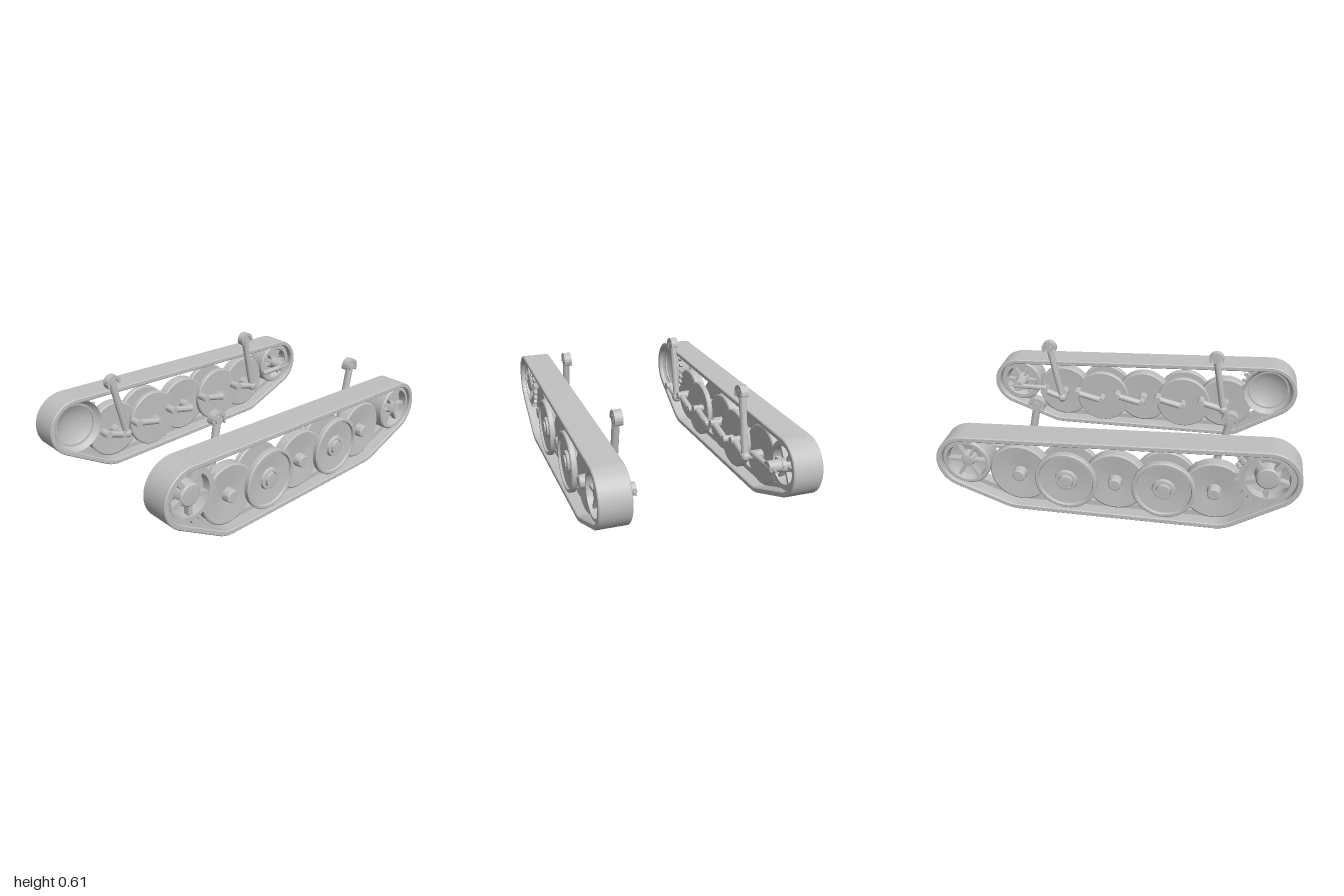
import * as THREE from 'three';
import { toCreasedNormals } from 'three/addons/utils/BufferGeometryUtils.js';

const metal = new THREE.MeshStandardMaterial({ color: 0xc0c0c0 });
metal.name = 'plain grey metal';

function add(parent, name, geo, x = 0, y = 0, z = 0) {
  const m = new THREE.Mesh(toCreasedNormals(geo, 0.6), metal);
  m.name = name;
  m.position.set(x, y, z);
  parent.add(m);
  return m;
}

// Lathe about the x axis: profile points are [radius, outward distance]
function turned(profile, s, seg = 48) {
  return new THREE.LatheGeometry(profile.map(p => new THREE.Vector2(p[0], p[1])), seg).rotateZ(-s * Math.PI / 2);
}
const drum = (r, a, b) => [[0, a], [r, a], [r, b], [0, b]];

// Shape drawn in (z, y), extruded symmetrically along x
function plate(shape, width, bevel = 0) {
  const depth = width - 2 * bevel;
  return new THREE.ExtrudeGeometry(shape, {
    depth, curveSegments: 20, bevelEnabled: bevel > 0,
    bevelThickness: bevel, bevelSize: bevel, bevelOffset: -bevel, bevelSegments: 1
  }).translate(0, 0, -depth / 2).rotateY(-Math.PI / 2);
}

function rod(parent, name, a, b, r) {
  const p = new THREE.Vector3(...a), q = new THREE.Vector3(...b);
  const d = q.clone().sub(p);
  const g = new THREE.CylinderGeometry(r, r, d.length(), 20);
  g.applyQuaternion(new THREE.Quaternion().setFromUnitVectors(new THREE.Vector3(0, 1, 0), d.normalize()));
  p.add(q).multiplyScalar(0.5);
  return add(parent, name, g, p.x, p.y, p.z);
}

// Track loop: hull of the circles it wraps around, shrunk by an inset
const GUIDES = [[0.825, 0.335, 0.175], [-0.835, 0.275, 0.165], [0.55, 0.21, 0.21], [-0.54, 0.21, 0.21]];
function loop(inset) {
  const pts = [];
  for (let i = 0; i < 160; i++) {
    const t = i / 160 * Math.PI * 2, c = Math.cos(t), n = Math.sin(t);
    let best = null, far = -9;
    for (const g of GUIDES) {
      const d = g[0] * c + g[1] * n + g[2];
      if (d > far) { far = d; best = g; }
    }
    pts.push(new THREE.Vector2(best[0] + (best[2] - inset) * c, best[1] + (best[2] - inset) * n));
  }
  return pts;
}
function band(outer, inner) {
  const shape = new THREE.Shape(loop(outer));
  shape.holes.push(new THREE.Path(loop(inner)));
  return shape;
}

// Toothed ring of the drive sprocket
function gearShape(teeth) {
  const pts = [];
  for (let i = 0; i < teeth; i++) {
    [[0, 0.15], [0.4, 0.15], [0.55, 0.173], [0.8, 0.173]].forEach(([k, r]) => {
      const a = (i + k) / teeth * Math.PI * 2;
      pts.push(new THREE.Vector2(r * Math.cos(a), r * Math.sin(a)));
    });
  }
  const shape = new THREE.Shape(pts);
  shape.holes.push(new THREE.Path().absarc(0, 0, 0.122, 0, Math.PI * 2, true));
  return shape;
}

function spokes(parent, count, r0, r1, width, depth, x) {
  for (let i = 0; i < count; i++) {
    const g = new THREE.BoxGeometry(depth, r1 - r0, width).translate(0, (r0 + r1) / 2, 0);
    add(parent, 'spoke', g.rotateX((i + 0.5) / count * Math.PI * 2), x);
  }
}

function sprocket(s) {
  const g = new THREE.Group();
  g.name = 'driveSprocket';
  for (const x of [0.475, 0.56]) add(g, 'toothedRing', plate(gearShape(24), 0.02), s * x);
  // bowl: deep dish inside, recessed face outside
  add(g, 'sprocketBowl', turned([[0, 0.5], [0.06, 0.497], [0.12, 0.475], [0.15, 0.45], [0.158, 0.435],
    [0.16, 0.44], [0.15, 0.47], [0.13, 0.5], [0.13, 0.575], [0.12, 0.575], [0.115, 0.53], [0.06, 0.515], [0, 0.515]], s));
  add(g, 'sprocketHub', turned([[0, 0.5], [0.075, 0.5], [0.063, 0.568], [0.055, 0.575], [0, 0.578]], s, 32));
  spokes(g, 5, 0.05, 0.122, 0.026, 0.035, s * 0.55);
  g.position.set(0, 0.335, 0.82);
  return g;
}

function idler(s) {
  const g = new THREE.Group();
  g.name = 'rearIdler';
  add(g, 'idlerRim', turned([[0, 0.5], [0.09, 0.5], [0.105, 0.455], [0.13, 0.455], [0.137, 0.462], [0.137, 0.578],
    [0.13, 0.585], [0.115, 0.585], [0.108, 0.54], [0.05, 0.52], [0, 0.52]], s));
  add(g, 'idlerHub', turned([[0, 0.44], [0.035, 0.44], [0.045, 0.5], [0.045, 0.53], [0.034, 0.57], [0, 0.575]], s, 24));
  spokes(g, 6, 0.025, 0.112, 0.016, 0.035, s * 0.55);
  spokes(g, 6, 0.025, 0.11, 0.016, 0.03, s * 0.48);
  g.position.set(0, 0.275, -0.83);
  return g;
}

function roadWheel(s, paired) {
  const g = new THREE.Group();
  g.name = paired ? 'pairedRoadWheel' : 'middleRoadWheel';
  if (paired) {
    add(g, 'outerDisc', turned([[0, 0.555], [0.168, 0.555], [0.174, 0.56], [0.174, 0.585], [0.168, 0.59], [0.155, 0.59],
      [0.15, 0.578], [0.065, 0.57], [0.06, 0.585], [0.043, 0.587], [0.04, 0.578], [0.036, 0.595], [0, 0.597]], s));
    add(g, 'innerDisc', turned([[0, 0.44], [0.168, 0.44], [0.174, 0.446], [0.174, 0.468], [0.168, 0.474], [0, 0.474]], s));
    add(g, 'wheelAxle', turned(drum(0.05, 0.47, 0.56), s, 24));
  } else {
    add(g, 'middleDisc', turned([[0, 0.49], [0.165, 0.482], [0.174, 0.488], [0.174, 0.542], [0.165, 0.548],
      [0.04, 0.535], [0.036, 0.575], [0.03, 0.58], [0, 0.58]], s));
    add(g, 'wheelAxle', turned(drum(0.03, 0.43, 0.49), s, 24));
  }
  return g;
}

// Swing arm: axle stub, crank and pivot stub
function swingArm(s, z, pivotZ) {
  const g = new THREE.Group(), x = s * 0.388;
  g.name = 'swingArm';
  rod(g, 'armAxle', [s * 0.37, 0.21, z], [s * 0.46, 0.21, z], 0.021);
  rod(g, 'armCrank', [x, 0.21, z], [x, 0.25, pivotZ], 0.02);
  rod(g, 'armPivot', [s * 0.362, 0.25, pivotZ], [s * 0.43, 0.25, pivotZ], 0.023);
  return g;
}

// Damper: slanted strut topped by a hooked bracket
function damper(s, bottomZ, topZ) {
  const g = new THREE.Group(), x = s * 0.388;
  g.name = 'damper';
  rod(g, 'damperStrut', [x, 0.21, bottomZ], [x, 0.56, topZ], 0.021);
  add(g, 'damperFoot', new THREE.SphereGeometry(0.03, 20, 14), x, 0.21, bottomZ);
  rod(g, 'damperPin', [s * 0.362, 0.565, topZ], [s * 0.408, 0.565, topZ], 0.024);
  const hook = new THREE.Shape();
  hook.absarc(0, 0, 0.046, -0.5, Math.PI + 0.5, false);
  hook.absarc(0, -0.004, 0.03, Math.PI + 0.1, -0.1, true);
  const m = add(g, 'damperHook', plate(hook, 0.046), s * 0.384, 0.566, topZ);
  m.rotation.x = Math.atan2(topZ - bottomZ, 0.35);
  return g;
}

function idlerCrank(s) {
  const g = new THREE.Group();
  g.name = 'idlerCrank';
  rod(g, 'crankAxle', [s * 0.365, 0.275, -0.825], [s * 0.46, 0.275, -0.825], 0.035);
  rod(g, 'crankRod', [s * 0.378, 0.275, -0.86], [s * 0.378, 0.275, -0.63], 0.016);
  rod(g, 'crankPin', [s * 0.382, 0.275, -0.86], [s * 0.382, 0.275, -0.895], 0.006);
  return g;
}

function runningGear(s) {
  const g = new THREE.Group();
  g.name = s > 0 ? 'leftTrackUnit' : 'rightTrackUnit';
  add(g, 'trackBand', plate(band(0, 0.03), 0.172, 0.005), s * 0.513);
  add(g, 'trackGuideRib', plate(band(0.025, 0.06), 0.03), s * 0.515);
  g.add(sprocket(s), idler(s), idlerCrank(s));
  // wheels, with arms trailing in opposite directions on the two sides
  for (let i = 0; i < 5; i++) {
    const z = 0.545 - i * 0.27;
    const wheel = roadWheel(s, i % 2 === 1);
    wheel.position.set(0, 0.21, z);
    const reach = (i === 0 || i === 4) ? 0.115 + (s > 0 === (i === 0) ? 0.035 : 0) : 0.165;
    g.add(wheel, swingArm(s, z, z - s * reach));
  }
  if (s > 0) g.add(damper(s, 0.54, 0.48), damper(s, -0.53, -0.6));
  else g.add(damper(s, 0.52, 0.6), damper(s, -0.53, -0.46));
  return g;
}

export function createModel() {
  const model = new THREE.Group();
  model.name = 'trackedRunningGear';
  model.add(runningGear(1), runningGear(-1));
  return model;
}
